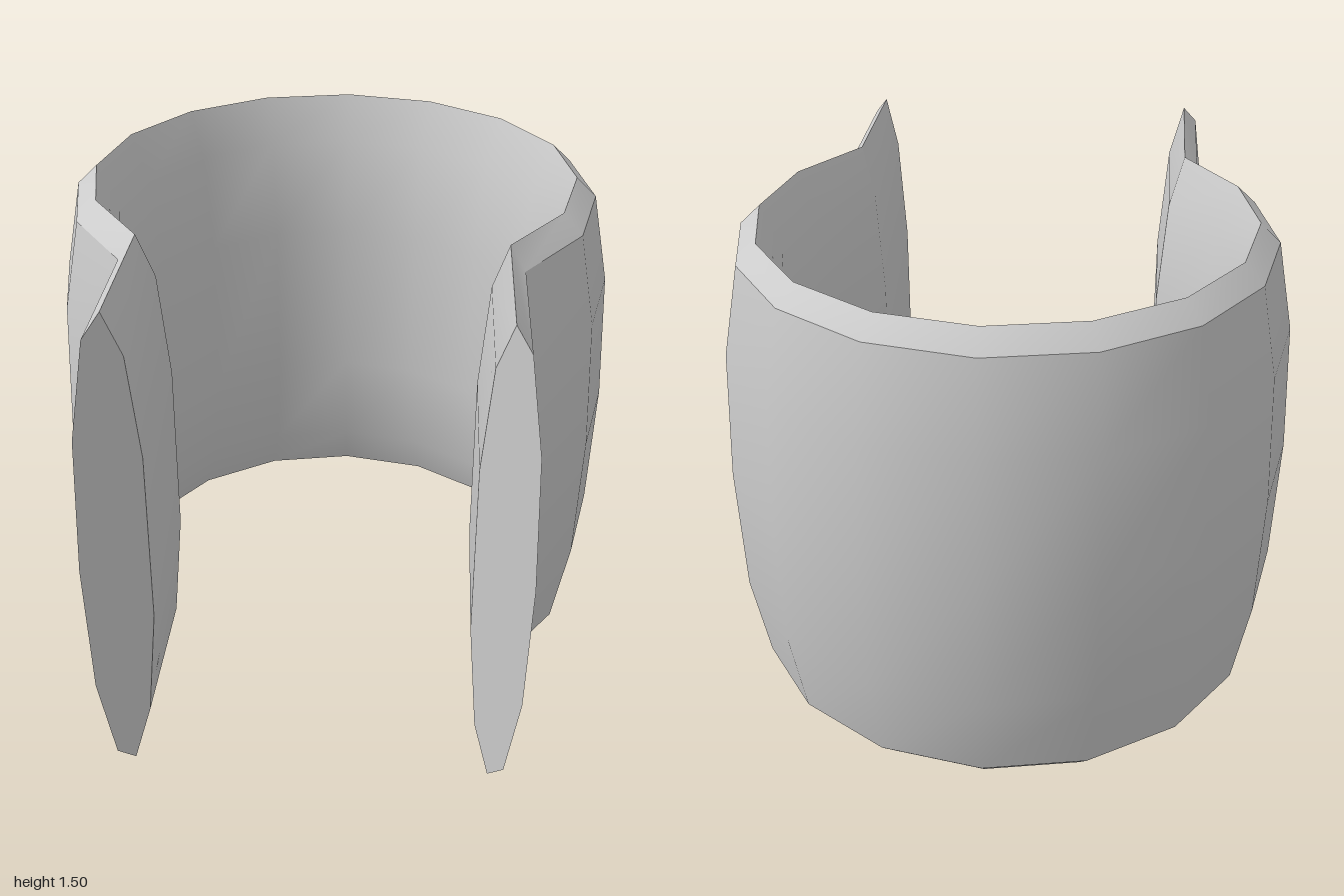
import * as THREE from 'three';
import { toCreasedNormals } from 'three/addons/utils/BufferGeometryUtils.js';

const OUTER = 0.88, INNER = 0.65, CENTRE_Z = -0.12, MID_Y = 0.75;

// Upper half of the wall section: [depth from outer (0) to inner (1), height above middle]
const HALF = [[0, 0], [0.07, 0.41], [0.3, 0.69], [0.57, 0.75], [0.84, 0.6], [1, 0.27]];

// Closed section loop: up the outside, down the inside, mirrored about the middle
const SECTION = [...HALF, ...HALF.slice(1).reverse().map(([t, y]) => [t, -y])];

// Stations along the band: straight arm tip, 270 degrees of a 16-sided ring, arm tip
function stations() {
  const list = [];
  for (let k = -6; k <= 6; k++) {
    const a = k * Math.PI / 8;
    const at = r => new THREE.Vector2(Math.sin(a) * r, CENTRE_Z - Math.cos(a) * r);
    list.push([at(OUTER), at(INNER)]);
  }
  const tip = ([o, i]) => [new THREE.Vector2(o.x, 1), new THREE.Vector2(i.x, 0.835)];
  return [tip(list[0]), ...list, tip(list[list.length - 1])];
}

function bandGeometry() {
  const path = stations(), n = SECTION.length;
  const positions = [], index = [];
  for (const [outer, inner] of path) {
    for (const [t, y] of SECTION) {
      const p = outer.clone().lerp(inner, t);
      positions.push(p.x, MID_Y + y, p.y);
    }
  }
  // Walls between neighbouring stations
  for (let i = 0; i < path.length - 1; i++) {
    for (let j = 0; j < n; j++) {
      const a = i * n + j, b = i * n + (j + 1) % n;
      index.push(a, b, a + n, b, b + n, a + n);
    }
  }
  // Slanted end faces
  const last = (path.length - 1) * n;
  for (let j = 1; j < n - 1; j++) {
    index.push(0, j + 1, j, last, last + j, last + j + 1);
  }
  const geometry = new THREE.BufferGeometry();
  geometry.setAttribute('position', new THREE.Float32BufferAttribute(positions, 3));
  geometry.setIndex(index);
  return toCreasedNormals(geometry, THREE.MathUtils.degToRad(28));
}

export function createModel() {
  const group = new THREE.Group();
  group.name = 'openClip';
  const band = new THREE.Mesh(bandGeometry(), new THREE.MeshStandardMaterial({ color: 0xcccccc }));
  band.name = 'clipBand';
  group.add(band);
  return group;
}
